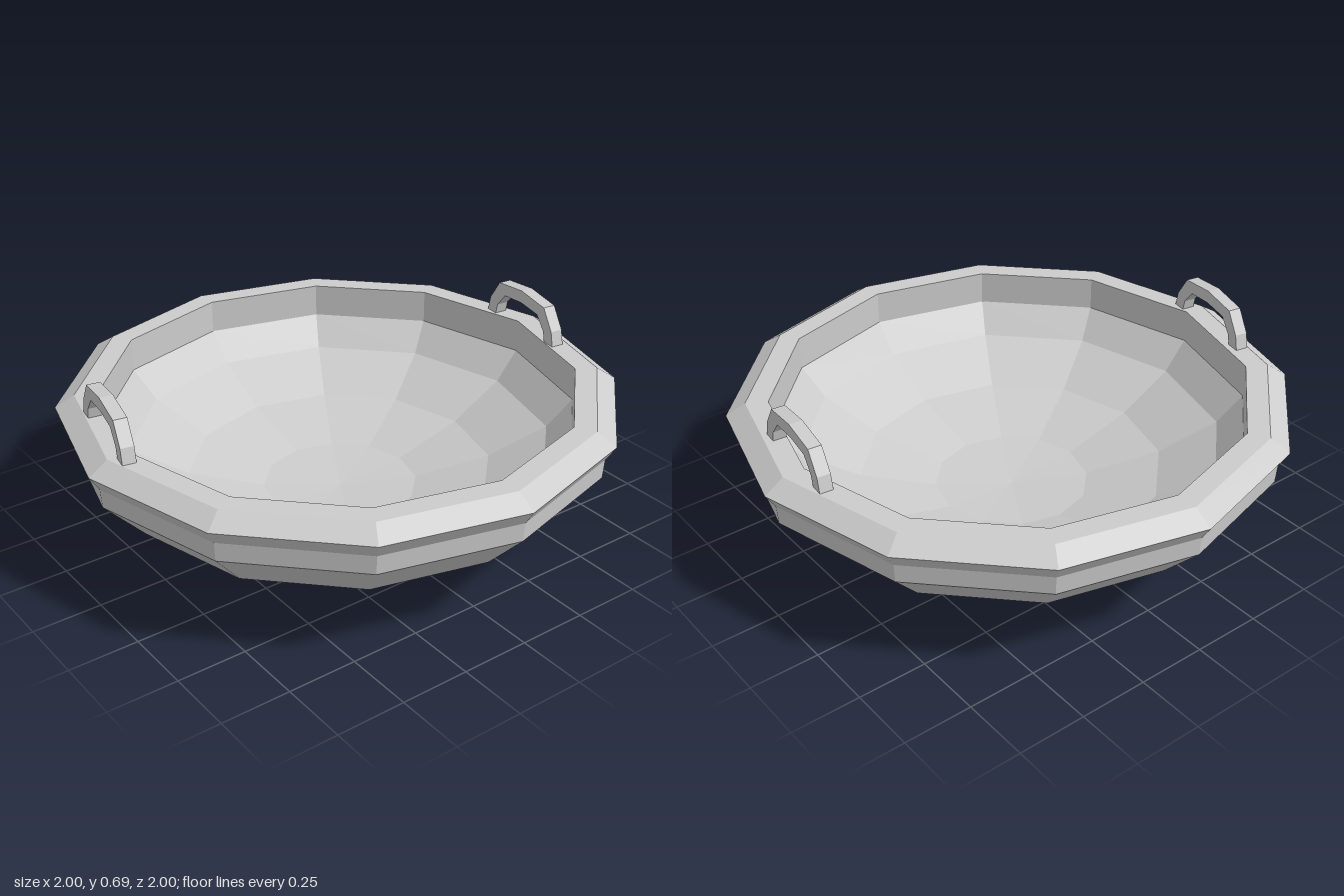
import * as THREE from 'three';

const material = new THREE.MeshStandardMaterial({ color: 0xcccccc, flatShading: true });

// Faceted dish: outer wall from the bottom up, over the rim, and down the inside.
function createBowl() {
  const profile = [
    [0, 0], [0.3, 0.03], [0.59, 0.1], [0.81, 0.21], [0.96, 0.37], // underside
    [0.965, 0.44], [1, 0.495], [0.93, 0.54],                      // band and flared rim
    [0.85, 0.54], [0.85, 0.415],                                  // lip and inner wall
    [0.76, 0.31], [0.55, 0.2], [0.28, 0.13], [0, 0.11],           // hollow
  ].map(([r, y]) => new THREE.Vector2(r, y));
  const bowl = new THREE.Mesh(new THREE.LatheGeometry(profile, 12), material);
  bowl.name = 'bowl';
  return bowl;
}

// Low-poly arch standing on the rim, centred on its own origin in depth.
function createHandle(name, x, z, angle) {
  const depth = 0.048;
  const outer = [[0.205, 0.53], [0.19, 0.595], [0.138, 0.673], [0, 0.69]];
  const inner = [[0.155, 0.53], [0.143, 0.58], [0.1, 0.632], [0, 0.642]];
  const arch = (half) => [
    ...half,
    ...half.slice(0, -1).reverse().map(([px, py]) => [-px, py]),
  ];
  const outline = [...arch(outer), ...arch(inner).reverse()];
  const shape = new THREE.Shape(outline.map(([px, py]) => new THREE.Vector2(px, py)));
  const geometry = new THREE.ExtrudeGeometry(shape, { depth, bevelEnabled: false });
  geometry.translate(0, 0, -depth / 2);
  const handle = new THREE.Mesh(geometry, material);
  handle.name = name;
  handle.position.set(x, 0, z);
  handle.rotation.y = angle;
  return handle;
}

export function createModel() {
  const model = new THREE.Group();
  model.name = 'handledBowl';
  model.add(
    createBowl(),
    createHandle('frontHandle', -0.13, 0.85, -0.18),
    createHandle('backHandle', 0.047, -0.84, -0.105),
  );
  return model;
}
